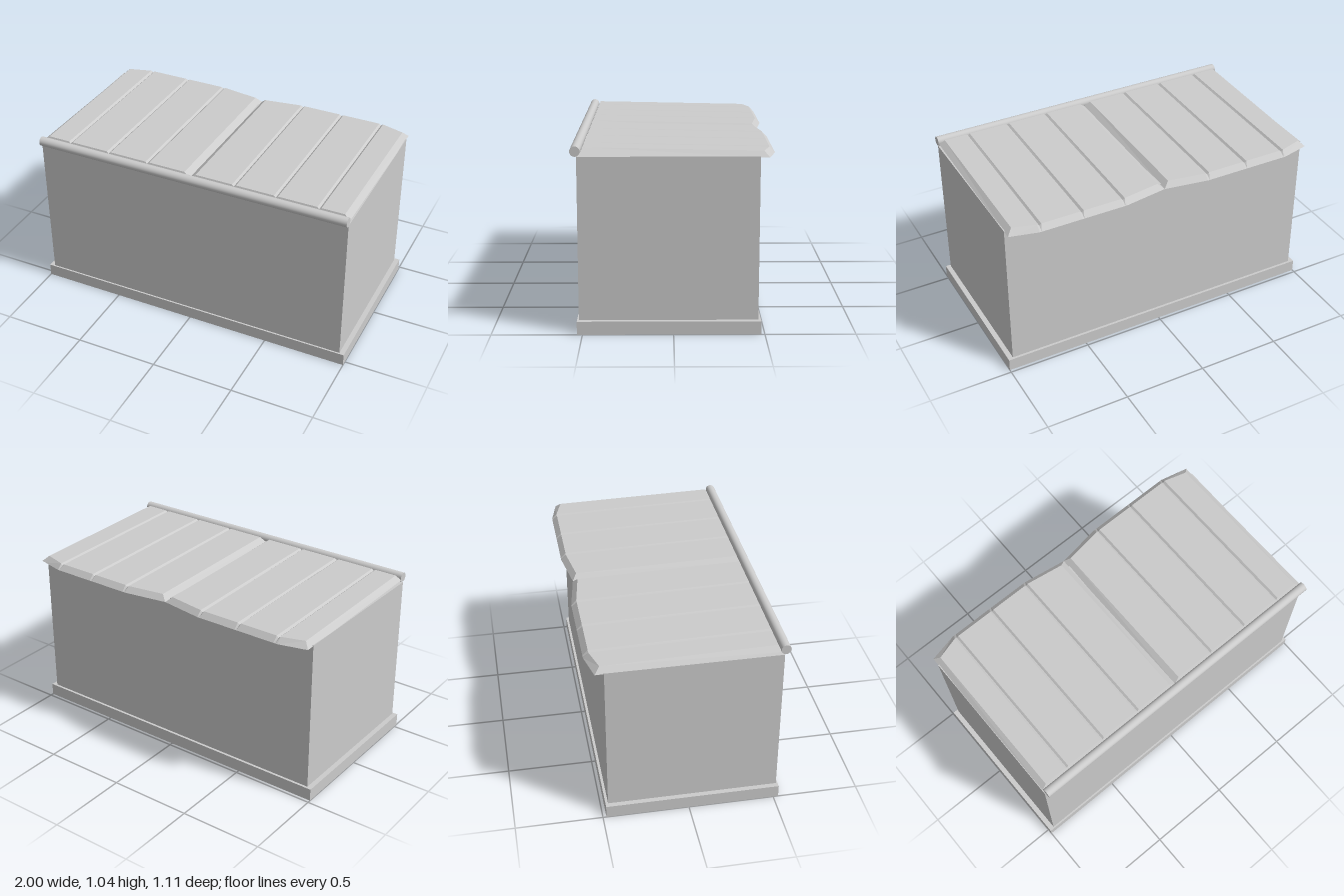
import * as THREE from 'three';

const material = new THREE.MeshStandardMaterial({ color: 0xcccccc });
const flat = new THREE.MeshStandardMaterial({ color: 0xcccccc, flatShading: true, side: THREE.DoubleSide });

function addBox(group, name, w, y0, y1, zBack, zFront) {
  const mesh = new THREE.Mesh(new THREE.BoxGeometry(w, y1 - y0, zFront - zBack), material);
  mesh.position.set(0, (y0 + y1) / 2, (zBack + zFront) / 2);
  mesh.name = name;
  group.add(mesh);
}

// Half of the cover's section: [x, depth below the top (1 = down to the underside), top back z, underside back z]
const halfCover = [[0, 1, -0.515, -0.515], [0.035, 0, -0.49, -0.52]];
for (const x of [0.275, 0.53, 0.787]) {
  halfCover.push([x - 0.012, 0, -0.525, -0.555], [x, 0.35, -0.525, -0.555], [x + 0.012, 0, -0.525, -0.555]);
}
halfCover.push([0.935, 0, -0.485, -0.523], [0.968, 1, -0.515, -0.515]);

// Heights of the sloping top and underside at depth z
const topY = (z) => 1.02 + 0.02 * z;
const underY = (z) => 0.991 + 0.0245 * z;

// Cover skinned from a four-point ring at every column across x
function coverGeometry() {
  const mirrored = halfCover.slice(1).reverse().map(([x, ...rest]) => [-x, ...rest]);
  const columns = [...mirrored, ...halfCover];
  const positions = [];
  const index = [];
  columns.forEach(([x, depth, zTop, zUnder], i) => {
    const surface = (z) => THREE.MathUtils.lerp(topY(z), underY(z), depth);
    const zFront = 0.488 + 0.012 * depth;
    positions.push(
      x, surface(zFront), zFront,
      x, surface(zTop), zTop,
      x, underY(zUnder), zUnder,
      x, underY(0.5), 0.5,
    );
    if (i === 0) return;
    const a = (i - 1) * 4;
    const b = i * 4;
    for (let j = 0; j < 4; j++) {
      const k = (j + 1) % 4;
      index.push(a + j, b + j, b + k, a + j, b + k, a + k);
    }
  });
  const geometry = new THREE.BufferGeometry();
  geometry.setAttribute('position', new THREE.Float32BufferAttribute(positions, 3));
  geometry.setIndex(index);
  const faceted = geometry.toNonIndexed();
  faceted.computeVertexNormals();
  return faceted;
}

export function createModel() {
  const group = new THREE.Group();
  group.name = 'coveredBox';

  // Plinth and body
  addBox(group, 'base', 2, 0, 0.075, -0.48, 0.53);
  addBox(group, 'body', 1.94, 0.075, 0.984, -0.465, 0.52);

  // Grooved, folding cover
  const cover = new THREE.Mesh(coverGeometry(), flat);
  cover.name = 'cover';
  group.add(cover);

  // Round bar along the front edge
  const bar = new THREE.Mesh(new THREE.CylinderGeometry(0.028, 0.028, 1.936, 32), material);
  bar.rotation.z = Math.PI / 2;
  bar.position.set(0.003, 1.012, 0.528);
  bar.name = 'frontBar';
  group.add(bar);

  return group;
}
